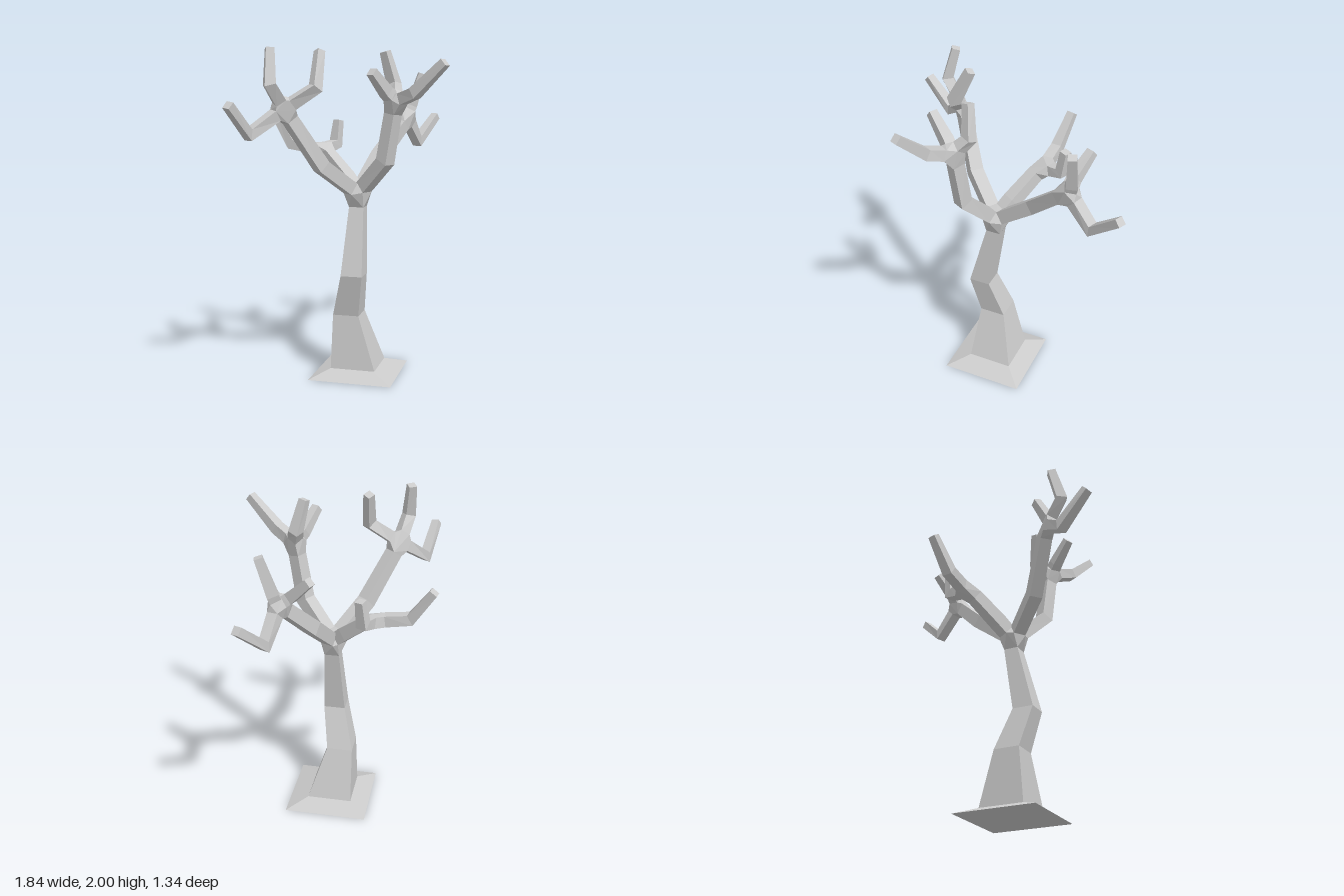
import * as THREE from 'three';
import { ConvexGeometry } from 'three/addons/geometries/ConvexGeometry.js';

const V = (x, y, z) => new THREE.Vector3(x, y, z);
const UP = V(0, 1, 0);
const material = new THREE.MeshStandardMaterial({ color: 0xcccccc, flatShading: true });

// Four corners of a square section, radius r, facing along t, aligned with the side vector
function ring(p, t, side, r) {
  const u = side.clone().addScaledVector(t, -side.dot(t)).normalize();
  const v = t.clone().cross(u);
  return [0, 1, 2, 3].map(k => {
    const a = Math.PI / 4 + k * Math.PI / 2;
    return p.clone().addScaledVector(u, r * Math.cos(a)).addScaledVector(v, r * Math.sin(a));
  });
}

// Flat-sided skin through a list of square rings, capped at both ends
function loft(rings) {
  const pts = [];
  const quad = (a, b, c, d) => pts.push(a, b, c, a, c, d);
  for (let k = 0; k < rings.length - 1; k++) {
    const a = rings[k], b = rings[k + 1];
    for (let i = 0; i < 4; i++) {
      const j = (i + 1) % 4;
      quad(a[i], a[j], b[j], b[i]);
    }
  }
  const s = rings[0], e = rings[rings.length - 1];
  quad(s[3], s[2], s[1], s[0]);
  quad(e[0], e[1], e[2], e[3]);
  const g = new THREE.BufferGeometry().setFromPoints(pts);
  g.computeVertexNormals();
  return g;
}

function add(group, name, geometry) {
  const m = new THREE.Mesh(geometry, material);
  m.name = name;
  group.add(m);
}

// Rings of a bent limb following a path, with one radius per point
function limbRings(path, radii) {
  const n = path.length - 1;
  const side = UP.clone().cross(path[n].clone().sub(path[0])).normalize();
  const dir = k => path[k + 1].clone().sub(path[k]).normalize();
  return path.map((p, k) => {
    const t = k === 0 ? dir(0) : k === n ? dir(n - 1) : dir(k - 1).add(dir(k)).normalize();
    return ring(p, t, side, radii[k]);
  });
}

// Start point of a limb, a little way out of its fork
const leave = (fork, next, d) => fork.clone().addScaledVector(next.clone().sub(fork).normalize(), d);

// Each branch: bend, end below its fork, fork centre, then twigs as [bend, tip]
const branches = [
  { name: 'rightBranch', bend: V(-0.28, 1.31, -0.04), end: V(-0.47, 1.59, -0.10), fork: V(-0.51, 1.65, -0.11),
    twigs: [[V(-0.72, 1.51, -0.17), V(-0.90, 1.68, -0.12)],
            [V(-0.63, 1.79, -0.09), V(-0.59, 1.99, -0.13)],
            [V(-0.39, 1.77, 0.03), V(-0.30, 1.98, -0.03)]] },
  { name: 'leftBranch', bend: V(0.26, 1.34, -0.07), end: V(0.48, 1.53, -0.07), fork: V(0.54, 1.58, -0.08),
    twigs: [[V(0.70, 1.41, -0.12), V(0.90, 1.575, -0.125)],
            [V(0.575, 1.65, -0.07), V(0.62, 1.86, -0.02)],
            [V(0.51, 1.63, -0.14), V(0.50, 1.75, -0.27)]] },
  { name: 'frontBranch', bend: V(-0.02, 1.34, 0.23), end: V(-0.01, 1.62, 0.28), fork: V(-0.01, 1.69, 0.30),
    twigs: [[V(-0.03, 1.74, 0.46), V(0, 1.91, 0.65)],
            [V(-0.08, 1.745, 0.29), V(-0.21, 1.86, 0.295)],
            [V(0.055, 1.79, 0.23), V(0.01, 1.98, 0.20)]] },
  { name: 'backBranch', bend: V(0.0, 1.22, -0.11), end: V(0.01, 1.35, -0.28), fork: V(0.02, 1.38, -0.34),
    twigs: [[V(-0.075, 1.41, -0.52), V(-0.10, 1.60, -0.65)],
            [V(0.16, 1.41, -0.36), V(0.185, 1.56, -0.36)]] },
];

export function createModel() {
  const tree = new THREE.Group();
  tree.name = 'tree';

  // Ground slab and crooked trunk share one square orientation
  const twist = THREE.MathUtils.degToRad(61);
  const trunkSide = V(Math.cos(twist), 0, Math.sin(twist));
  const level = (x, y, z, r) => ring(V(x, y, z), UP, trunkSide, r);
  const foot = level(0, 0.045, -0.01, 0.197);
  add(tree, 'rootPlate', loft([level(0, 0, 0, 0.364), foot]));
  const trunkTop = level(-0.01, 1.05, 0, 0.064);
  add(tree, 'trunk', loft([foot, level(-0.05, 0.38, -0.04, 0.114), level(-0.09, 0.64, 0.04, 0.093), trunkTop]));

  // Main branches leave the crown, each ending in a fork of twigs
  const crown = V(-0.01, 1.125, 0);
  const crownPoints = [...trunkTop];
  for (const b of branches) {
    const group = new THREE.Group();
    group.name = b.name;
    const rings = limbRings([leave(crown, b.bend, 0.07), b.bend, b.end], [0.056, 0.058, 0.053]);
    add(group, 'branch', loft(rings));
    crownPoints.push(...rings[0]);
    const forkPoints = [...rings[2]];
    for (const [bend, tip] of b.twigs) {
      const d = Math.min(0.06, 0.6 * bend.distanceTo(b.fork));
      const twig = limbRings([leave(b.fork, bend, d), bend, tip], [0.047, 0.046, 0.034]);
      add(group, 'twig', loft(twig));
      forkPoints.push(...twig[0]);
    }
    add(group, 'fork', new ConvexGeometry(forkPoints));
    tree.add(group);
  }
  add(tree, 'crown', new ConvexGeometry(crownPoints));
  return tree;
}
